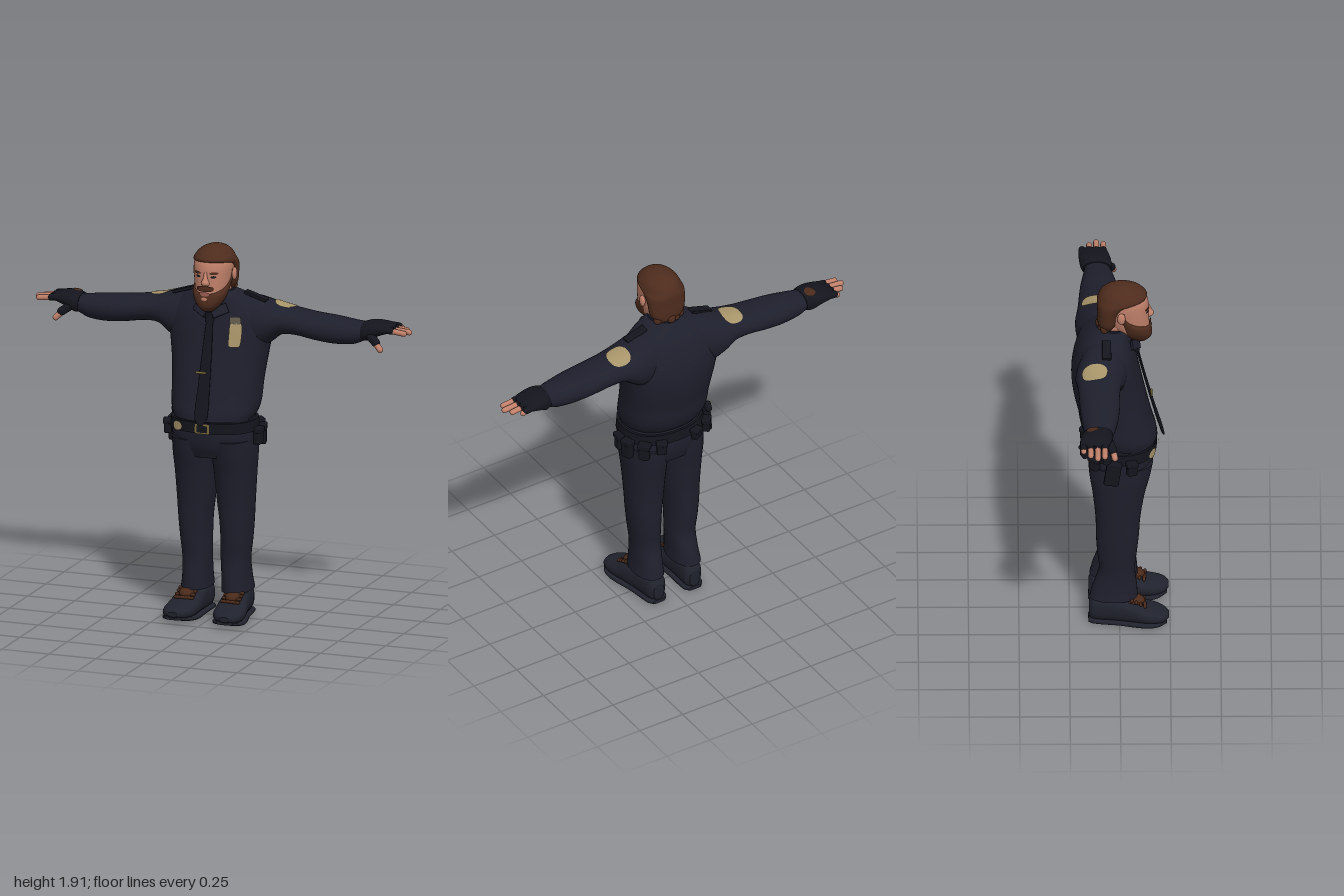
import * as THREE from 'three';
import { RoundedBoxGeometry } from 'three/addons/geometries/RoundedBoxGeometry.js';

const mat = (name, color) => Object.assign(new THREE.MeshStandardMaterial({ color }), { name });

// Smoothly interpolated section [minA, maxA, minB, maxB] at position t along a loft
function sectionAt(secs, t) {
  let i = 0;
  while (i < secs.length - 2 && t > secs[i + 1][0]) i++;
  const p = secs[i], q = secs[i + 1], o = secs[i - 1] || p, r = secs[i + 2] || q;
  const h = q[0] - p[0], u = (t - p[0]) / h, u2 = u * u, u3 = u2 * u;
  return [1, 2, 3, 4].map(k => {
    const m0 = (q[k] - o[k]) / (q[0] - o[0]) * h, m1 = (r[k] - p[k]) / (r[0] - p[0]) * h;
    return (2 * u3 - 3 * u2 + 1) * p[k] + (u3 - 2 * u2 + u) * m0 + (3 * u2 - 2 * u3) * q[k] + (u3 - u2) * m1;
  });
}

// Point on a loft surface; sections run along axis: y uses (z,x), x uses (y,z), z uses (x,y)
function pointAt(body, t, a, off = 0) {
  const [a0, a1, b0, b1] = sectionAt(body.secs, t);
  const pw = v => Math.sign(v) * Math.abs(v) ** (2 / body.p);
  const A = (a0 + a1) / 2 + ((a1 - a0) / 2 + off) * pw(Math.cos(a));
  const B = (b0 + b1) / 2 + ((b1 - b0) / 2 + off) * pw(Math.sin(a));
  return body.axis === 'y' ? [B, t, A] : body.axis === 'x' ? [t, A, B] : [A, B, t];
}

function buildGeometry(pos, idx) {
  const g = new THREE.BufferGeometry();
  g.setAttribute('position', new THREE.Float32BufferAttribute(pos, 3));
  g.setIndex(idx);
  g.computeVertexNormals();
  return g;
}

// Closed solid through the sections, with capped ends
function loft(body, seg = 32, sub = 4) {
  const ts = [], pos = [], idx = [], s = body.secs;
  for (let i = 0; i < s.length - 1; i++)
    for (let k = 0; k < sub; k++) ts.push(s[i][0] + (s[i + 1][0] - s[i][0]) * k / sub);
  ts.push(s[s.length - 1][0]);
  const ring = t => { for (let j = 0; j < seg; j++) pos.push(...pointAt(body, t, j / seg * Math.PI * 2)); };
  ts.forEach(ring);
  for (let i = 0; i < ts.length - 1; i++)
    for (let j = 0; j < seg; j++) {
      const k = (j + 1) % seg, a = i * seg + j, b = i * seg + k;
      idx.push(a, b, b + seg, a, b + seg, a + seg);
    }
  [[ts[0], true], [ts[ts.length - 1], false]].forEach(([t, low]) => {
    const base = pos.length / 3;
    ring(t);
    const p = pointAt(body, t, 0), q = pointAt(body, t, Math.PI);
    pos.push(...p.map((v, i) => (v + q[i]) / 2));
    for (let j = 0; j < seg; j++) {
      const a = base + j, b = base + (j + 1) % seg;
      low ? idx.push(b, a, base + seg) : idx.push(a, b, base + seg);
    }
  });
  return buildGeometry(pos, idx);
}

// Thin painted detail hugging a loft: centre (t,a), half sizes (dt,da); higher p is squarer
function patch(body, t, dt, a, da, off = 0.005, p = 2, seg = 32, rings = 5) {
  const pos = [...pointAt(body, t, a, off)], idx = [];
  const pw = v => Math.sign(v) * Math.abs(v) ** (2 / p);
  for (let r = 1; r <= rings; r++)
    for (let j = 0; j < seg; j++) {
      const w = j / seg * Math.PI * 2, f = r / rings;
      pos.push(...pointAt(body, t + dt * f * pw(Math.sin(w)), a + da * f * pw(Math.cos(w)), off));
      const k = (j + 1) % seg, o = 1 + (r - 1) * seg;
      if (r === 1) idx.push(0, 1 + j, 1 + k);
      else idx.push(o - seg + j, o + j, o + k, o - seg + j, o + k, o - seg + k);
    }
  return buildGeometry(pos, idx);
}

export function createModel() {
  const model = new THREE.Group();
  const cloth = mat('navy cloth', 0x1e1f2c), dark = mat('black leather', 0x14151d), shoe = mat('shoe leather', 0x20222d);
  const skin = mat('skin', 0xc0806a), hair = mat('brown hair', 0x4e2c1d), tan = mat('tan patch', 0xa8956a);
  const gold = mat('dull gold', 0x7d6c3c), brown = mat('brown lace', 0x4a2a1a), lip = mat('lips', 0x9a5c50), khaki = mat('grey khaki', 0x5f594c);
  tan.side = THREE.DoubleSide;
  const add = (parent, name, geo, m) => {
    const mesh = new THREE.Mesh(geo, m);
    mesh.name = name;
    parent.add(mesh);
    return mesh;
  };
  const box = (parent, name, m, [w, h, d], [x, y, z], [rx, ry, rz] = [0, 0, 0]) => {
    const b = add(parent, name, new RoundedBoxGeometry(w, h, d, 2, Math.min(w, h, d) * 0.25), m);
    b.position.set(x, y, z);
    b.rotation.set(rx, ry, rz);
  };
  const ball = (parent, name, m, r, [x, y, z]) => {
    const b = add(parent, name, new THREE.SphereGeometry(1, 20, 14), m);
    b.scale.set(...r);
    b.position.set(x, y, z);
  };
  const capsule = (parent, name, m, r, from, to) => {
    const a = new THREE.Vector3(...from), b = new THREE.Vector3(...to), d = b.clone().sub(a);
    const c = add(parent, name, new THREE.CapsuleGeometry(r, d.length(), 5, 12), m);
    c.position.copy(a).add(b).multiplyScalar(0.5);
    c.quaternion.setFromUnitVectors(new THREE.Vector3(0, 1, 0), d.normalize());
  };
  // Group of left-hand parts, later copied to the right with the winding turned round
  const left = new THREE.Group();
  left.name = 'leftSide';

  // Torso, hips and belt
  const torso = { axis: 'y', p: 2.3, secs: [
    [1.035, -.15, .185, -.2, .2], [1.07, -.175, .18, -.217, .217], [1.12, -.195, .165, -.226, .226],
    [1.2, -.208, .145, -.23, .23], [1.3, -.23, .122, -.24, .24], [1.4, -.24, .1, -.255, .255],
    [1.48, -.232, .085, -.265, .265], [1.55, -.212, .07, -.255, .255], [1.6, -.188, .055, -.215, .215],
    [1.64, -.152, .045, -.16, .16], [1.67, -.115, .04, -.085, .085]] };
  add(model, 'shirt', loft(torso, 48), cloth);
  add(model, 'hips', loft({ axis: 'y', p: 2.3, secs: [[.84, -.14, .14, -.19, .19], [.9, -.158, .165, -.211, .211],
    [.97, -.163, .175, -.215, .215], [1.07, -.15, .17, -.195, .195]] }, 40), cloth);
  const belt = { axis: 'y', p: 2.3, secs: [[.975, -.172, .185, -.224, .224], [1.03, -.168, .187, -.217, .217]] };
  add(model, 'belt', loft(belt, 40), dark);
  add(model, 'beltBuckle', patch(belt, 1.0, .026, 0, .13, .006, 8), gold);
  add(model, 'buckleCentre', patch(belt, 1.0, .018, 0, .09, .009, 8), dark);
  add(model, 'beltBadge', patch(belt, 1.0, .024, -.62, .17, .008), tan);
  // Belt gear
  [[.232, .945, .015, .05, .085], [.228, .94, -.055, .055, .1], [.18, .95, -.135, .055, .09], [.1, .965, -.17, .05, .07],
    [-.1, .98, -.172, .05, .055], [-.19, .97, -.125, .05, .07], [-.232, .965, .06, .05, .07]].forEach(([x, y, z, w, h]) => {
    const a = Math.atan2(x, z * 1.2);
    box(model, 'beltPouch', dark, [w, h, .038], [x, y, z], [0, a, 0]);
    box(model, 'pouchFlap', dark, [w + .008, h * .35, .046], [x, y + h * .38, z], [0, a, 0]);
  });
  box(model, 'holster', dark, [.04, .13, .075], [-.236, .94, -.035], [.15, 0, 0]);
  box(model, 'holsterGrip', dark, [.03, .05, .035], [-.238, 1.02, -.06], [.5, 0, 0]);

  // Tie, hanging free of the shirt at the bottom
  add(model, 'tie', loft({ axis: 'y', p: 3, secs: [[1.025, .214, .223, -.012, .012], [1.06, .203, .213, -.034, .034],
    [1.2, .163, .173, -.032, .032], [1.4, .112, .122, -.025, .025], [1.55, .075, .088, -.016, .016]] }, 20), dark);
  add(model, 'tieKnot', loft({ axis: 'y', p: 3, secs: [[1.52, .07, .1, -.018, .018], [1.575, .055, .095, -.03, .03]] }, 20), dark);
  box(model, 'tieClip', gold, [.055, .012, .009], [-.018, 1.28, .158], [-.25, 0, 0]);
  add(model, 'chestBadge', patch(torso, 1.468, .06, .46, .13, .012, 6), tan);
  add(model, 'chestPocketTop', patch(torso, 1.54, .018, .45, .12, .012, 6), khaki);

  // Collar and shoulder straps
  add(model, 'collar', loft({ axis: 'y', p: 2, secs: [[1.6, -.15, .065, -.12, .12], [1.64, -.13, .065, -.1, .1],
    [1.675, -.105, .05, -.08, .08]] }), cloth);
  box(left, 'collarFlap', cloth, [.085, .05, .014], [.05, 1.585, .078], [-.35, .35, .5]);
  box(left, 'shoulderStrap', dark, [.12, .016, .045], [.19, 1.64, -.065], [0, 0, -.3]);

  // Sleeves with shoulder patches
  const arm = { axis: 'x', p: 2.1, secs: [[.1, 1.37, 1.65, -.19, .03], [.2, 1.37, 1.635, -.215, .035], [.26, 1.405, 1.617, -.22, .025],
    [.32, 1.45, 1.6, -.212, .01], [.4, 1.455, 1.587, -.205, 0], [.5, 1.44, 1.575, -.2, 0], [.6, 1.43, 1.568, -.193, -.008],
    [.7, 1.436, 1.556, -.18, -.026], [.75, 1.455, 1.55, -.172, -.042], [.785, 1.47, 1.545, -.168, -.05]] };
  add(left, 'sleeve', loft(arm), cloth);
  add(left, 'shoulderPatch', patch(arm, .33, .055, -.25, .58, .005, 2.4), tan);

  // Fingerless gloves and fingers
  const glove = { axis: 'x', p: 2.4, secs: [[.75, 1.462, 1.552, -.176, -.04], [.78, 1.46, 1.56, -.19, -.035], [.82, 1.482, 1.56, -.198, -.04],
    [.87, 1.5, 1.552, -.2, -.052], [.905, 1.508, 1.54, -.196, -.06]] };
  add(left, 'glove', loft(glove), dark);
  [[-.182, .92], [-.147, .96], [-.112, .985], [-.077, .97]].forEach(([z, tip]) => {
    capsule(left, 'gloveFinger', dark, .018, [.87, 1.527, z], [.905, 1.524, z]);
    capsule(left, 'finger', skin, .0145, [.89, 1.525, z], [tip, 1.516, z]);
  });
  capsule(left, 'gloveThumb', dark, .022, [.79, 1.5, -.06], [.835, 1.468, -.038]);
  capsule(left, 'thumb', skin, .0155, [.83, 1.47, -.038], [.862, 1.437, -.027]);

  // Trouser legs
  add(left, 'trouserLeg', loft({ axis: 'y', p: 2.2, secs: [[.14, -.15, .09, .033, .182], [.2, -.135, .086, .035, .174], [.3, -.104, .076, .03, .174],
    [.4, -.112, .085, .03, .184], [.5, -.118, .095, .026, .192], [.6, -.12, .102, .014, .198], [.75, -.135, .125, .002, .206],
    [.85, -.15, .15, -.006, .212], [.93, -.156, .166, -.008, .212]] }), cloth);

  // Shoes, toes turned slightly out
  add(left, 'shoe', loft({ axis: 'z', p: 2.4, secs: [[-.153, .075, .135, .02, .11], [-.13, .055, .155, .008, .15], [-.03, .05, .175, .008, .155],
    [.06, .045, .195, .01, .135], [.12, .045, .207, .012, .105], [.18, .055, .208, .015, .088], [.22, .08, .195, .022, .075],
    [.243, .112, .162, .035, .06]] }), shoe);
  add(left, 'sole', loft({ axis: 'z', p: 4, secs: [[-.156, .07, .14, 0, .02], [-.13, .05, .16, 0, .024], [.0, .047, .18, 0, .024],
    [.12, .04, .211, .002, .026], [.19, .055, .21, .008, .03], [.235, .095, .18, .018, .036]] }), shoe);
  ball(left, 'shoeTongue', brown, [.045, .03, .065], [.122, .122, .06]);
  for (let i = 0; i < 4; i++)
    capsule(left, 'shoeLace', brown, .008, [.078, .142 - i * .011, .055 + i * .022], [.168, .142 - i * .011, .06 + i * .022]);

  // Head, neck and face
  add(model, 'neck', loft({ axis: 'y', p: 2, secs: [[1.56, -.1, .05, -.072, .072], [1.74, -.085, .06, -.07, .07]] }, 24), skin);
  const head = { axis: 'y', p: 2.15, secs: [[1.605, .05, .14, -.035, .035], [1.64, -.01, .15, -.066, .066], [1.7, -.07, .147, -.084, .084],
    [1.76, -.095, .145, -.093, .093], [1.82, -.1, .14, -.096, .096], [1.86, -.09, .12, -.083, .083], [1.89, -.05, .08, -.05, .05]] };
  add(model, 'head', loft(head, 40), skin);
  add(model, 'hair', loft({ axis: 'y', p: 2.15, secs: [[1.67, -.1, -.03, -.07, .07], [1.71, -.112, -.005, -.094, .094], [1.77, -.112, .012, -.102, .102],
    [1.815, -.113, .055, -.106, .106], [1.84, -.108, .132, -.102, .102], [1.87, -.092, .12, -.086, .086], [1.895, -.06, .085, -.056, .056],
    [1.908, -.02, .045, -.02, .02]] }, 40), hair);
  for (let i = -2; i <= 2; i++) ball(model, 'hairCurl', hair, [.022, .028, .02], [i * .032, 1.685 + (i % 2) * .012, -.1 + Math.abs(i) * .012]);
  add(model, 'beard', loft({ axis: 'y', p: 2.15, secs: [[1.59, .075, .135, -.03, .03], [1.615, .03, .158, -.055, .055], [1.65, 0, .16, -.078, .078],
    [1.685, -.01, .146, -.09, .09], [1.715, -.012, .1, -.094, .094], [1.75, -.012, .05, -.098, .098], [1.79, -.01, .04, -.1, .1]] }, 40), hair);
  add(model, 'moustache', patch(head, 1.71, .014, 0, .45, .009, 3), hair);
  add(model, 'mouth', patch(head, 1.684, .01, 0, .27, .011), lip);
  add(model, 'chinSkin', patch(head, 1.66, .008, 0, .16, .013), skin);
  add(model, 'nose', loft({ axis: 'y', p: 2, secs: [[1.722, .12, .152, -.018, .018], [1.738, .12, .17, -.022, .022],
    [1.76, .12, .16, -.013, .013], [1.795, .12, .145, -.009, .009]] }, 20), skin);
  add(left, 'eye', patch(head, 1.77, .006, .4, .15, .003), dark);
  add(left, 'eyebrow', patch(head, 1.789, .007, .42, .22, .005), hair);
  ball(left, 'ear', skin, [.013, .032, .02], [.102, 1.765, .008]);

  // Mirror the left-hand parts
  const right = new THREE.Group();
  right.name = 'rightSide';
  left.children.forEach(m => {
    m.updateMatrix();
    const src = m.geometry.clone().applyMatrix4(m.matrix).scale(-1, 1, 1);
    const n = src.index ? src.index.count : src.attributes.position.count, idx = [];
    const at = i => (src.index ? src.index.getX(i) : i);
    for (let i = 0; i < n; i += 3) idx.push(at(i), at(i + 2), at(i + 1));
    src.setIndex(idx);
    add(right, m.name, src, m.material);
  });
  // Brown wrist patch on the right glove only
  const wrist = { axis: 'x', p: 2.4, secs: glove.secs.map(([x, a, b, c, d]) => [-x, a, b, c, d]).reverse() };
  add(right, 'wristPatch', patch(wrist, -.785, .025, -.3, .35, .004), brown);
  model.add(left, right);
  return model;
}
